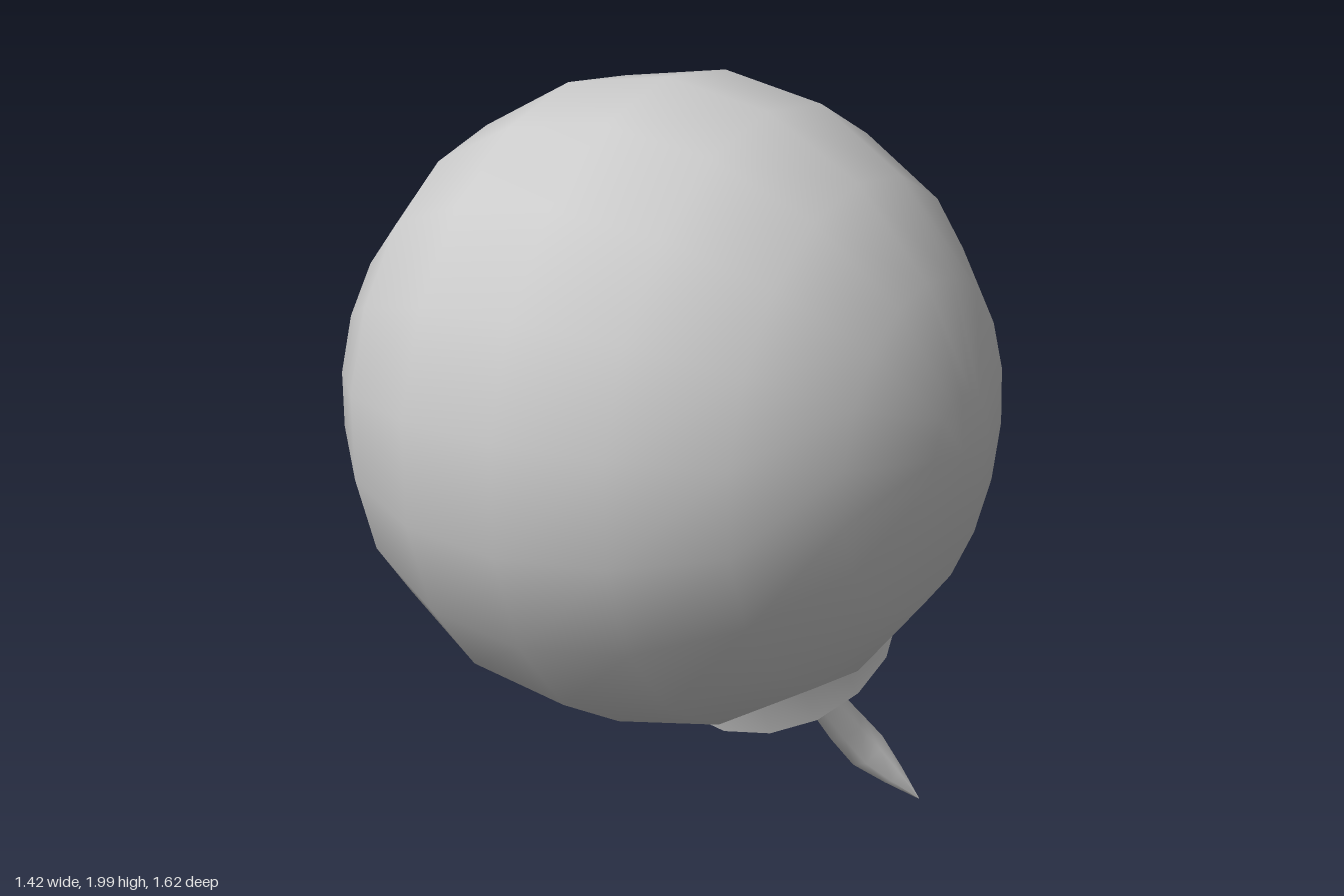
import * as THREE from 'three';

const RAD = Math.PI / 180;

export function createModel() {
  const model = new THREE.Group();
  const material = new THREE.MeshStandardMaterial({ color: 0xcccccc });
  const add = (name, geometry, parent) => {
    const mesh = new THREE.Mesh(geometry, material);
    mesh.name = name;
    parent.add(mesh);
    return mesh;
  };

  // Round body: rings every 20 degrees about the sideways axis, with blunt poles
  const radius = 0.718;
  const center = new THREE.Vector3(0, 1.275, 0.1);
  const profile = [new THREE.Vector2(0, -0.71)];
  for (let a = -80; a <= 80; a += 20) {
    profile.push(new THREE.Vector2(radius * Math.cos(a * RAD), radius * Math.sin(a * RAD)));
  }
  profile.push(new THREE.Vector2(0, 0.71));
  const body = add('body', new THREE.LatheGeometry(profile, 18, -8.4 * RAD), model);
  body.position.copy(center);
  body.rotation.z = -Math.PI / 2;

  // Neck group: its local +y points out of the body, down and to the back
  const neck = new THREE.Group();
  neck.name = 'neck';
  neck.position.copy(center);
  const axis = new THREE.Vector3(0, -0.715, -0.47).normalize();
  neck.quaternion.setFromUnitVectors(new THREE.Vector3(0, 1, 0), axis);
  model.add(neck);

  // Collar with a slight waist, its flat end face, and the small fuse socket
  const collarProfile = [[0.26, 0.6], [0.262, 0.7], [0.265, 0.76], [0.289, 0.856]];
  add('collar', new THREE.LatheGeometry(collarProfile.map((p) => new THREE.Vector2(...p)), 16), neck);
  const face = add('collarFace', new THREE.CircleGeometry(0.289, 16), neck);
  face.position.y = 0.856;
  face.rotation.x = -Math.PI / 2;
  const socket = add('fuseSocket', new THREE.CylinderGeometry(0.092, 0.092, 0.05, 8), neck);
  socket.position.y = 0.866;

  // Bent fuse: a six-sided tube that draws to a point
  const path = new THREE.CatmullRomCurve3([
    [-0.015, 0.57, -0.365],
    [-0.02, 0.435, -0.46],
    [-0.02, 0.337, -0.587],
    [0.045, 0.165, -0.705],
    [0.155, 0.005, -0.805],
  ].map((p) => new THREE.Vector3(...p)), false, 'catmullrom', 0.25);
  const steps = 8, sides = 6;
  const widths = [0.042, 0.042, 0.04, 0.04, 0.042, 0.048, 0.05, 0.028, 0.001];
  const fuse = new THREE.TubeGeometry(path, steps, 1, sides);
  const position = fuse.attributes.position;
  const v = new THREE.Vector3();
  for (let i = 0; i < position.count; i++) {
    const ring = Math.floor(i / (sides + 1));
    const middle = path.getPointAt(ring / steps);
    v.fromBufferAttribute(position, i).sub(middle).multiplyScalar(widths[ring]).add(middle);
    position.setXYZ(i, v.x, v.y, v.z);
  }
  add('fuse', fuse, model);

  return model;
}
